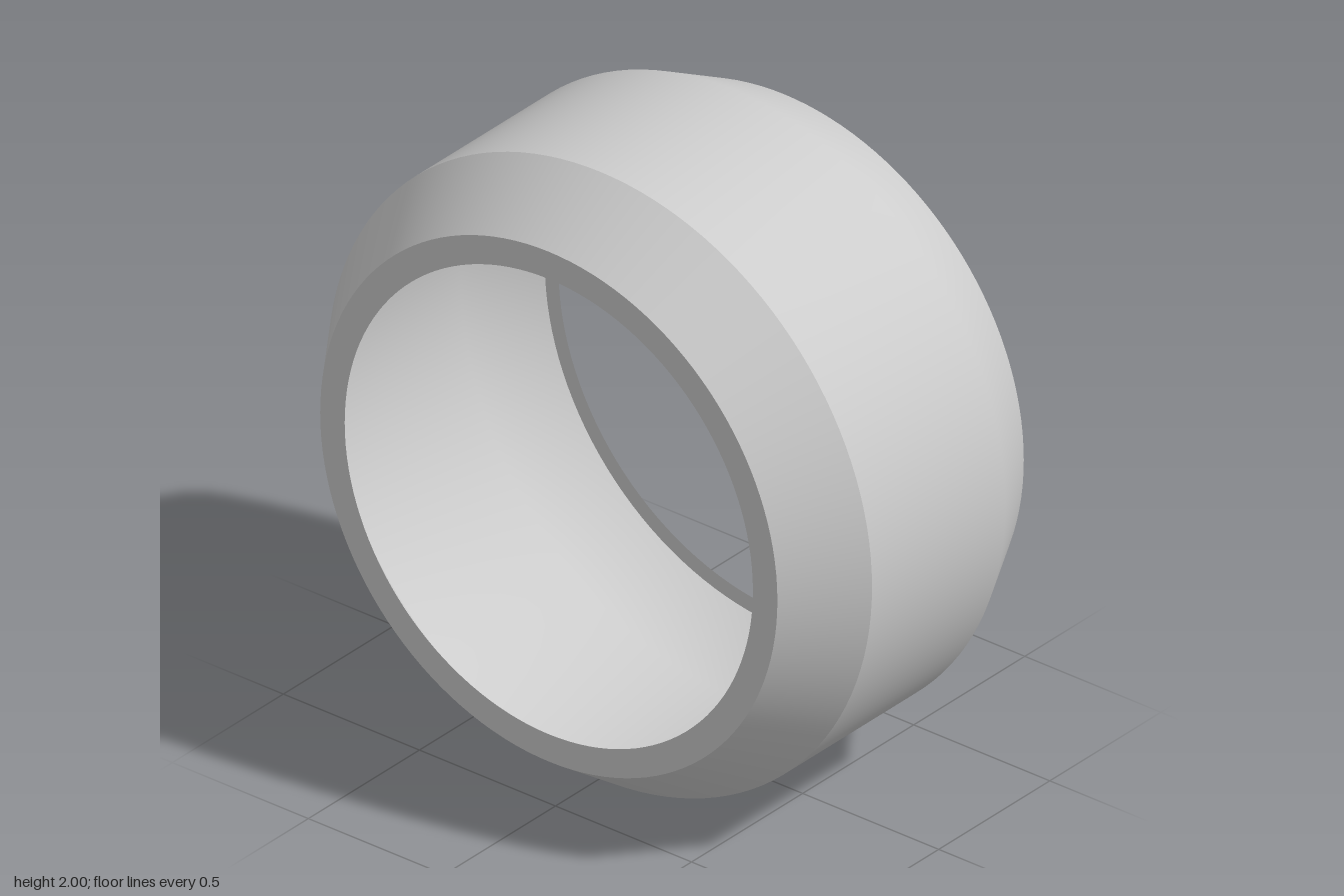
import * as THREE from 'three';

export function createModel() {
  const model = new THREE.Group();
  model.name = 'hollowRing';
  // The ring is an open sheet, so its inside shows too
  const metal = new THREE.MeshStandardMaterial({ color: 0xcccccc, side: THREE.DoubleSide });
  metal.name = 'plainGrey';

  // Profile sections as [x along the axis, radius]; each one is smooth, with sharp edges between them
  const sections = {
    thickRim: [[-0.53, 0.75], [-0.53, 0.84]],
    leftBevel: [[-0.53, 0.84], [-0.3, 1]],
    treadAndRightBevel: [[-0.3, 1], [0.3, 1], [0.53, 0.88]],
    thinRim: [[0.53, 0.88], [0.53, 0.83]],
  };

  for (const [name, profile] of Object.entries(sections)) {
    const points = profile.map(([x, r]) => new THREE.Vector2(r, x));
    const geometry = new THREE.LatheGeometry(points, 128);
    geometry.rotateZ(-Math.PI / 2); // lay the axis along x
    geometry.translate(0, 1, 0);
    const mesh = new THREE.Mesh(geometry, metal);
    mesh.name = name;
    model.add(mesh);
  }
  return model;
}
